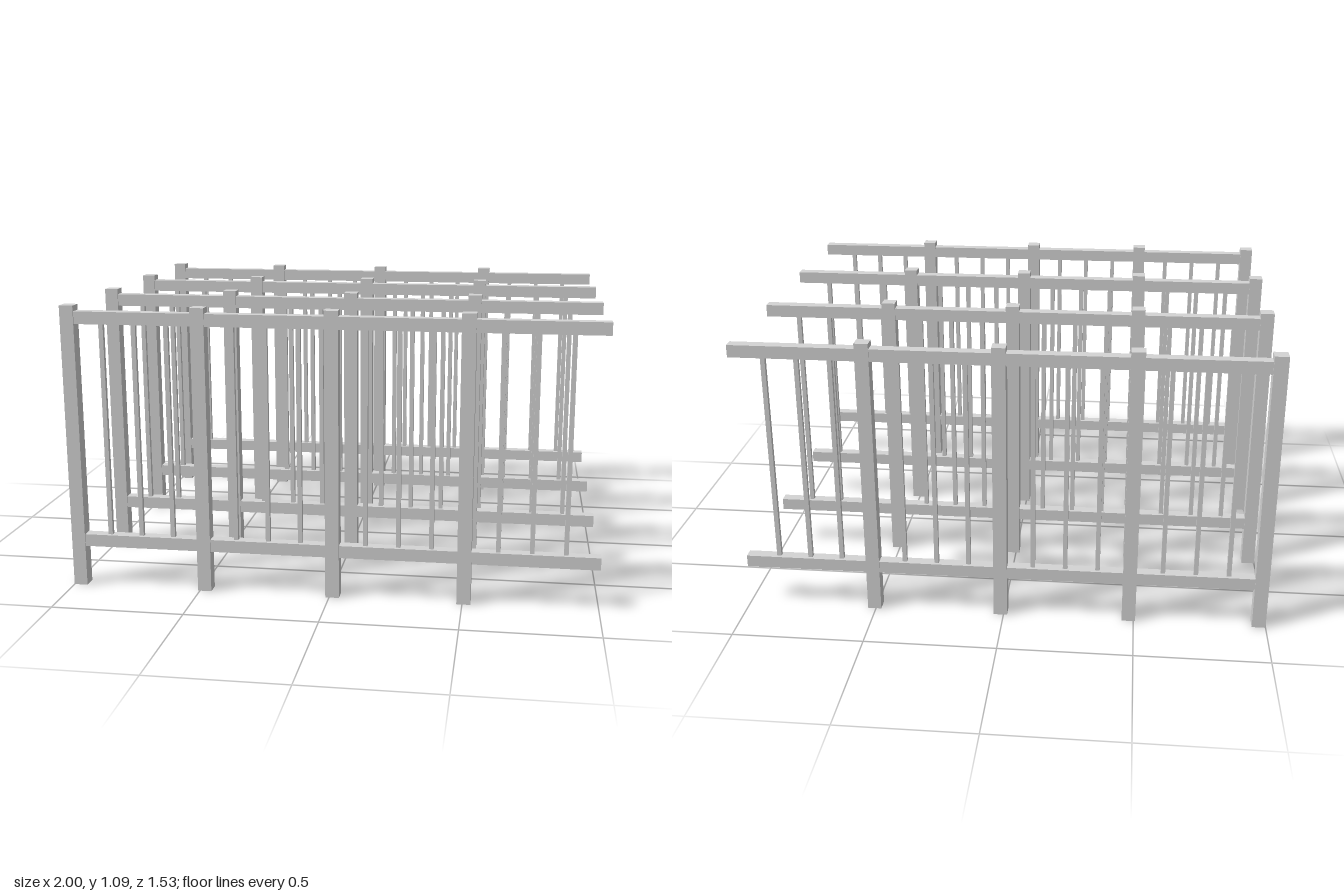
import * as THREE from 'three';

export function createModel() {
  const grey = new THREE.MeshStandardMaterial({ color: 0xd4d4d4 });
  grey.name = 'light grey metal';

  const START = -0.974, BAY = 0.493, BAYS = 4, PICKETS = 4;
  const POST = 0.052, POST_HEIGHT = 1.088;
  const RAIL_HEIGHT = 0.047, RAIL_DEPTH = 0.043, LOW_RAIL = 0.181, TOP_RAIL = 1.043;
  const BAR = 0.017;

  // Box placed by its centre in x and y
  function addBox(parent, name, w, h, d, x, y) {
    const mesh = new THREE.Mesh(new THREE.BoxGeometry(w, h, d), grey);
    mesh.name = name;
    mesh.position.set(x, y, 0);
    parent.add(mesh);
  }

  function createFence() {
    const fence = new THREE.Group();
    fence.name = 'fencePanel';

    // Long rails, running from the first post to the open end
    for (const [name, y] of [['lowerRail', LOW_RAIL], ['upperRail', TOP_RAIL]]) {
      addBox(fence, name, 1 - START, RAIL_HEIGHT, RAIL_DEPTH, (1 + START) / 2, y);
    }

    // One post per bay, followed by its thin balusters
    const barHeight = TOP_RAIL - LOW_RAIL - RAIL_HEIGHT;
    for (let bay = 0; bay < BAYS; bay++) {
      const x = START + bay * BAY;
      addBox(fence, 'post', POST, POST_HEIGHT, POST, x, POST_HEIGHT / 2);
      for (let i = 1; i < PICKETS; i++) {
        addBox(fence, 'baluster', BAR, barHeight, BAR, x + (i * BAY) / PICKETS, (LOW_RAIL + TOP_RAIL) / 2);
      }
    }
    return fence;
  }

  // Four parallel fences
  const model = new THREE.Group();
  model.name = 'fences';
  for (let row = 0; row < 4; row++) {
    const fence = createFence();
    fence.position.z = (row - 1.5) * 0.494;
    model.add(fence);
  }
  return model;
}
